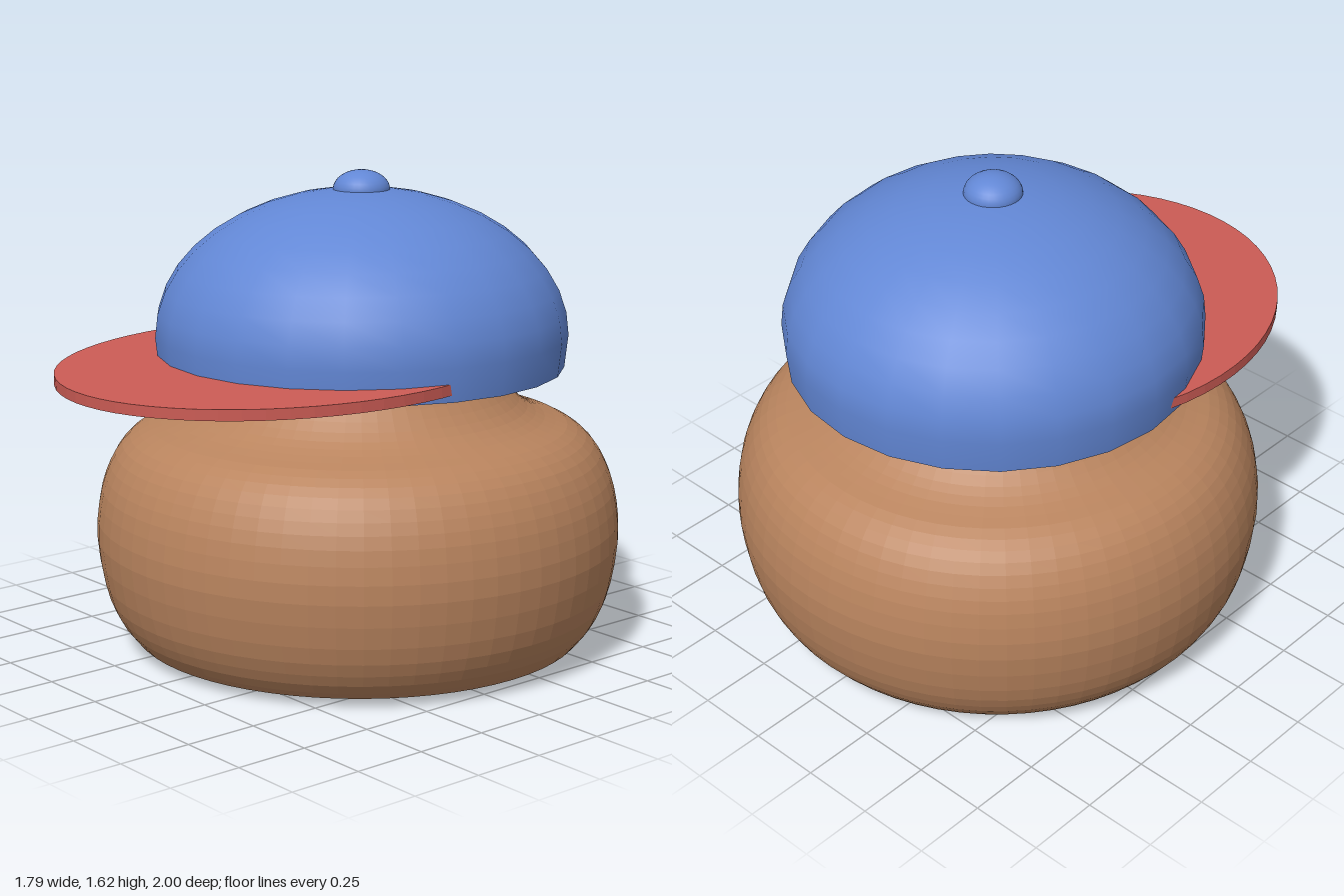
import * as THREE from 'three';

const brown = new THREE.MeshStandardMaterial({ color: 0xb9845e, flatShading: true });
const blue = new THREE.MeshStandardMaterial({ color: 0x6287d5 });
const red = new THREE.MeshStandardMaterial({ color: 0xcc5c55, flatShading: true });

const points = (list) => list.map(([x, y]) => new THREE.Vector2(x, y));

function addMesh(parent, name, geometry, material, x, y, z) {
  const mesh = new THREE.Mesh(geometry, material);
  mesh.name = name;
  mesh.position.set(x, y, z);
  parent.add(mesh);
  return mesh;
}

// Radius and height along a dome, from just under its widest line to the top
function domeArc(radius, height, centreY, rimRadius, rimY, steps) {
  const arc = [new THREE.Vector2(rimRadius, rimY)];
  for (let i = 0; i <= steps; i++) {
    const a = (i / steps) * Math.PI / 2;
    arc.push(new THREE.Vector2(i === steps ? 0 : radius * Math.cos(a), centreY + height * Math.sin(a)));
  }
  return arc;
}

export function createModel() {
  const model = new THREE.Group();
  model.name = 'cappedFigure';

  // Round body narrowing into a neck that closes inside the cap
  const side = new THREE.SplineCurve(points([
    [0.77, 0.03], [0.825, 0.1], [0.87, 0.21], [0.895, 0.38], [0.882, 0.52], [0.85, 0.62],
    [0.80, 0.70], [0.73, 0.753], [0.64, 0.785], [0.57, 0.825], [0.505, 0.89], [0.455, 0.96],
  ])).getPoints(26);
  const bodyProfile = [
    ...points([[0, 0], [0.5, 0.004], [0.68, 0.013]]),
    ...side,
    ...points([[0.42, 1.04], [0.36, 1.13], [0.22, 1.2], [0, 1.22]]),
  ];
  addMesh(model, 'body', new THREE.LatheGeometry(bodyProfile, 64), brown, 0, 0, -0.105);

  // Cap: outer dome, inner dome and the narrow rim between them
  const cap = new THREE.Group();
  cap.name = 'cap';
  cap.position.set(0.01, 0, -0.11);
  model.add(cap);
  const outer = domeArc(0.7, 0.49, 1.07, 0.688, 0.96, 10);
  const inner = domeArc(0.665, 0.455, 1.07, 0.653, 0.96, 10).reverse();
  addMesh(cap, 'capCrown', new THREE.LatheGeometry(outer, 24), blue, 0, 0, 0);
  addMesh(cap, 'capLining', new THREE.LatheGeometry(inner, 24), blue, 0, 0, 0);
  addMesh(cap, 'capRim', new THREE.LatheGeometry(points([[0.653, 0.96], [0.688, 0.96]]), 24), blue, 0, 0, 0);

  // Button on top of the crown
  const button = addMesh(cap, 'capButton', new THREE.SphereGeometry(0.096, 32, 16), blue, 0, 1.555, 0);
  button.scale.y = 0.68;

  // Oval brim, tilted slightly down at the front
  const brim = addMesh(model, 'brim', new THREE.CylinderGeometry(1, 1, 0.036, 64), red, -0.007, 0.999, 0.21);
  brim.scale.set(0.688, 1, 0.79);
  brim.rotation.x = 0.022;

  return model;
}
